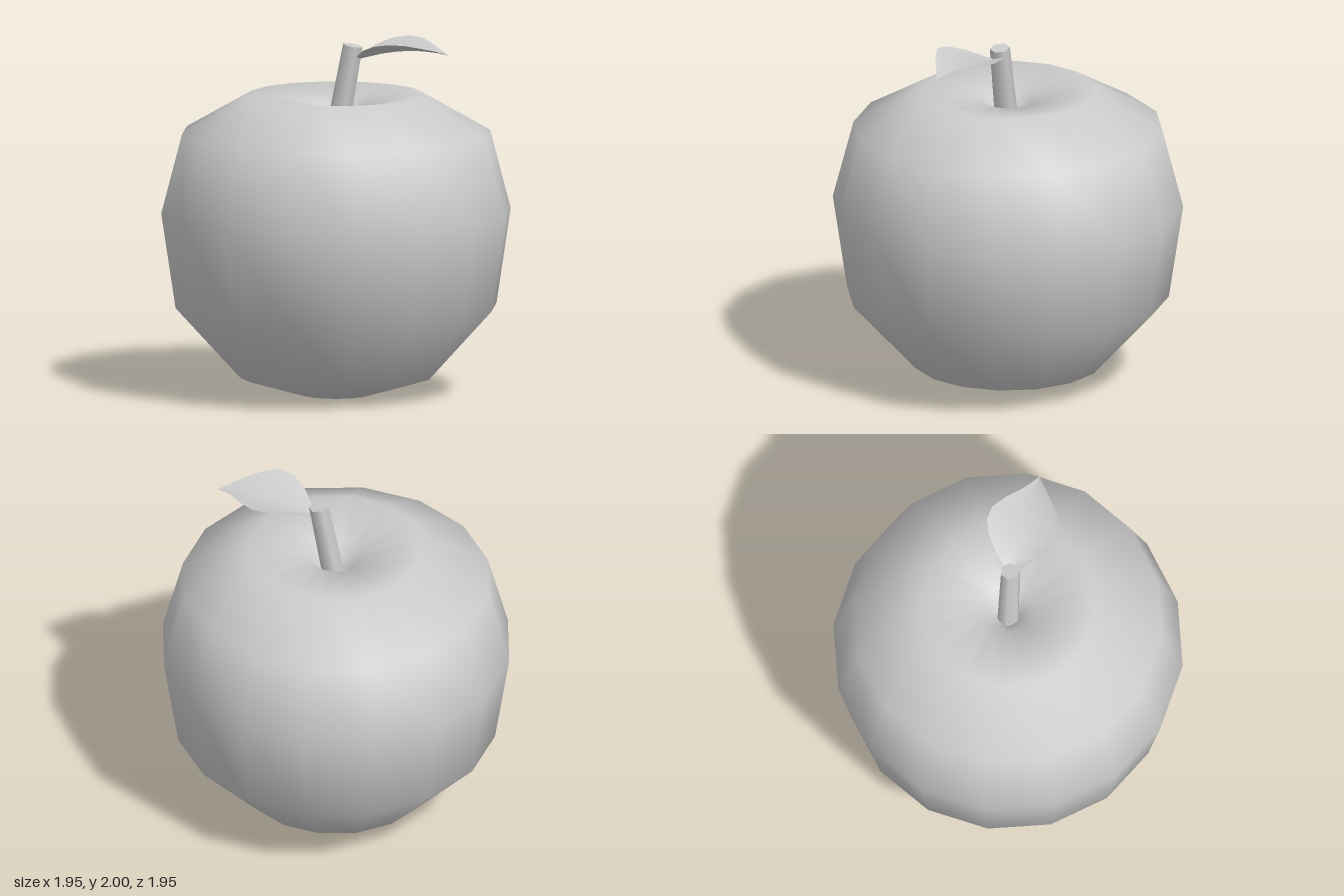
import * as THREE from 'three';

const grey = new THREE.MeshStandardMaterial({ color: 0xcccccc });
grey.name = 'light grey';
const leafGrey = grey.clone();
leafGrey.name = 'leaf light grey';
leafGrey.side = THREE.DoubleSide;

function addMesh(group, name, geometry, material) {
  const mesh = new THREE.Mesh(geometry, material);
  mesh.name = name;
  group.add(mesh);
  return mesh;
}

// Folded leaf: each station is x, left edge z, midrib z, right edge z, edge y, midrib y
function leafGeometry() {
  const stations = [
    [0.13, -0.035, 0.0, 0.035, 1.9, 1.88],
    [0.2, -0.09, 0.02, 0.15, 1.95, 1.9],
    [0.28, -0.14, 0.035, 0.23, 1.985, 1.922],
    [0.37, -0.165, 0.045, 0.245, 2.0, 1.938],
    [0.45, -0.145, 0.055, 0.215, 1.995, 1.945],
    [0.52, -0.08, 0.065, 0.18, 1.98, 1.947],
    [0.6, 0.02, 0.08, 0.135, 1.96, 1.943],
    [0.68, 0.09, 0.09, 0.09, 1.932, 1.932],
  ];
  const positions = [];
  const indices = [];
  stations.forEach(([x, left, mid, right, edgeY, midY], i) => {
    positions.push(x, edgeY, left, x, midY, mid, x, edgeY, right);
    if (i === stations.length - 1) return;
    for (let j = 0; j < 2; j++) {
      const a = i * 3 + j;
      indices.push(a, a + 1, a + 3, a + 1, a + 4, a + 3);
    }
  });
  const geometry = new THREE.BufferGeometry();
  geometry.setAttribute('position', new THREE.Float32BufferAttribute(positions, 3));
  geometry.setIndex(indices);
  geometry.computeVertexNormals();
  return geometry;
}

export function createModel() {
  const model = new THREE.Group();
  model.name = 'apple';

  // Body: sixteen-sided lathe with a shallow base dimple and a stem pit
  const profile = [
    [0, 0.05], [0.195, 0], [0.535, 0.1], [0.895, 0.495], [0.975, 1.025],
    [0.86, 1.465], [0.485, 1.68], [0.14, 1.62], [0, 1.4],
  ].map(([r, y]) => new THREE.Vector2(r, y));
  addMesh(model, 'body', new THREE.LatheGeometry(profile, 16), grey);

  // Stem: six-sided, leaning towards the leaf
  const base = new THREE.Vector3(-0.006, 1.4, 0);
  const top = new THREE.Vector3(0.097, 1.955, 0);
  const axis = top.clone().sub(base);
  const stemGeometry = new THREE.CylinderGeometry(0.056, 0.067, axis.length(), 6);
  stemGeometry.rotateY(Math.PI / 6);
  const stem = addMesh(model, 'stem', stemGeometry, grey);
  stem.position.copy(base).add(top).multiplyScalar(0.5);
  stem.quaternion.setFromUnitVectors(new THREE.Vector3(0, 1, 0), axis.normalize());

  // Leaf: folded up along its midrib
  addMesh(model, 'leaf', leafGeometry(), leafGrey);

  return model;
}
